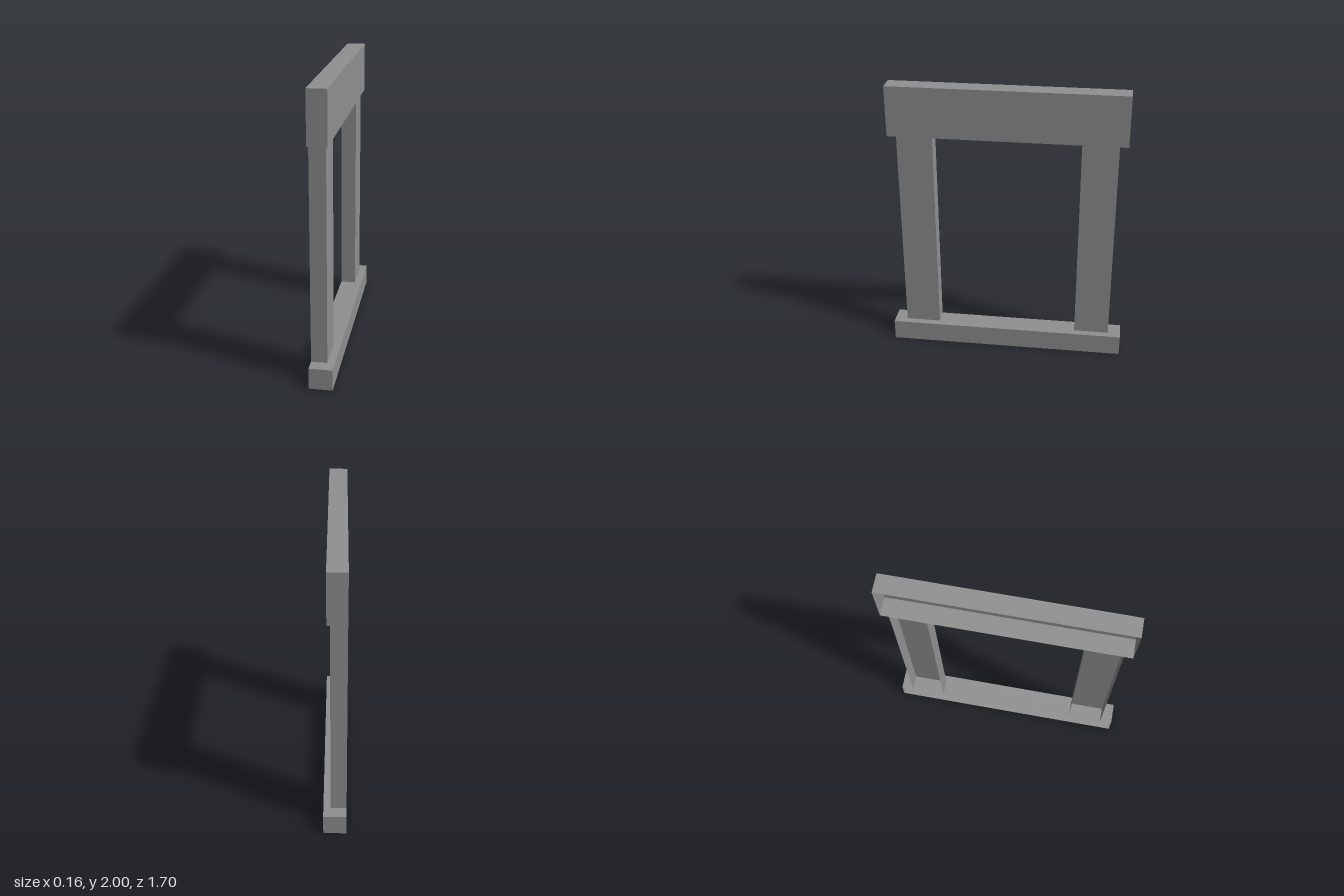
import * as THREE from 'three';

const BACK = -0.08; // plane of the open back

export function createModel() {
  const model = new THREE.Group();
  model.name = 'windowSurround';
  const grey = new THREE.MeshStandardMaterial({ color: 0x909090, side: THREE.DoubleSide });
  grey.name = 'grey';

  // Hollow box, open towards -x; skipped faces are numbered +x, -x, +y, -y, +z, -z
  function shell(name, front, y0, y1, z0, z1, skip = [1]) {
    const geometry = new THREE.BoxGeometry(front - BACK, y1 - y0, z1 - z0);
    const index = Array.from(geometry.index.array);
    geometry.setIndex(index.filter((_, i) => !skip.includes(Math.floor(i / 6))));
    geometry.clearGroups();
    const mesh = new THREE.Mesh(geometry, grey);
    mesh.name = name;
    mesh.position.set((front + BACK) / 2, (y0 + y1) / 2, (z0 + z1) / 2);
    model.add(mesh);
  }

  // Sill and lintel
  shell('sill', 0.08, 0, 0.15, -0.85, 0.85);
  shell('lintel', 0.05, 1.645, 2, -0.82, 0.82);

  // Side posts, whose ends are closed by the sill and lintel
  shell('frontPost', 0.03, 0.15, 1.645, 0.51, 0.76, [1, 2, 3]);
  shell('backPost', 0.03, 0.15, 1.645, -0.76, -0.51, [1, 2, 3]);

  return model;
}
